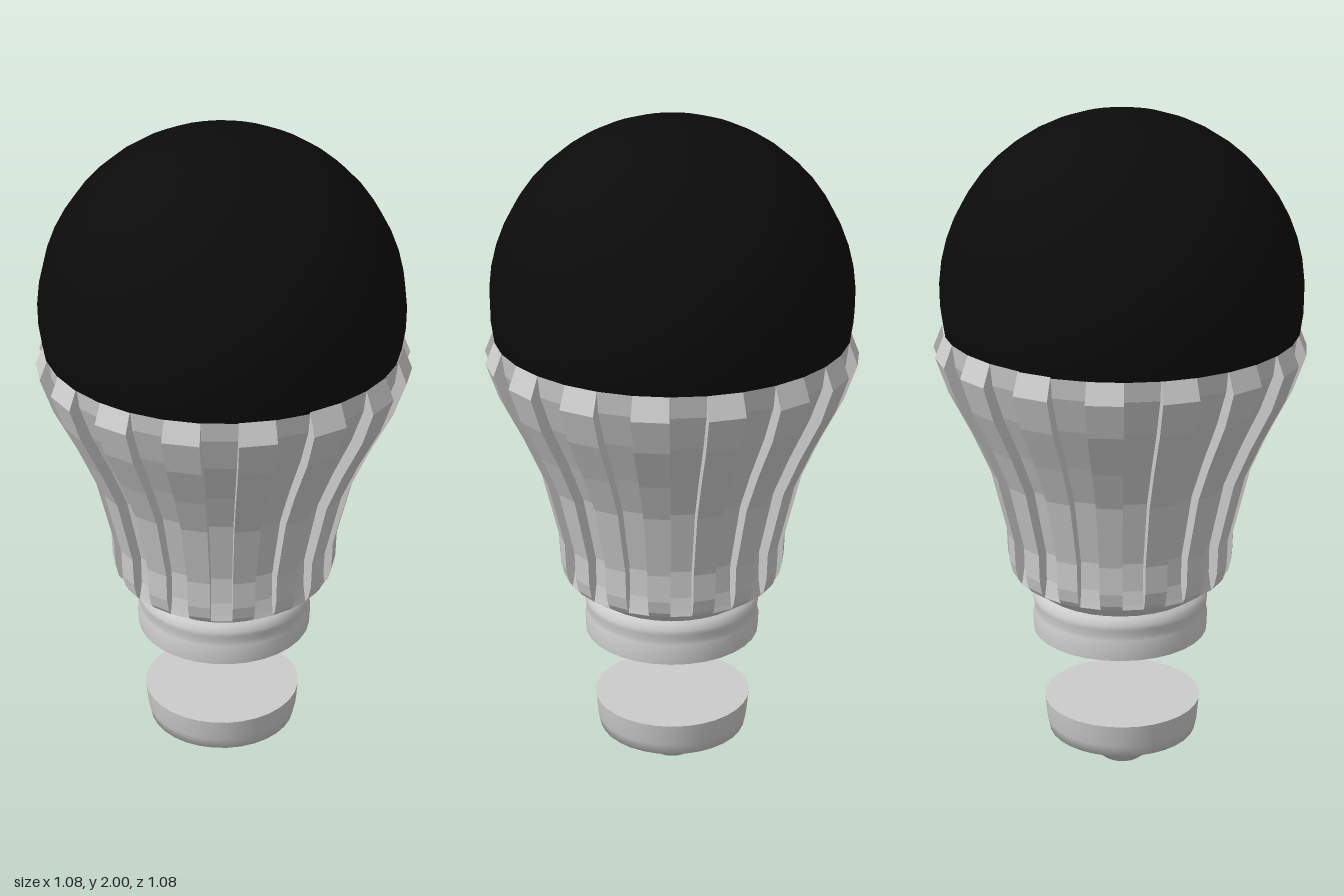
import * as THREE from 'three';
import { toCreasedNormals } from 'three/addons/utils/BufferGeometryUtils.js';

const SIDES = 32;
const grey = new THREE.MeshStandardMaterial({ color: 0xcccccc });
const greyFlat = new THREE.MeshStandardMaterial({ color: 0xcccccc, flatShading: true });
const black = new THREE.MeshStandardMaterial({ color: 0x0b0b0b });

function addMesh(group, name, geometry, material, x = 0) {
  const mesh = new THREE.Mesh(geometry, material);
  mesh.name = name;
  mesh.position.x = x;
  group.add(mesh);
}

// Turned part: profile of [radius, y], listed from bottom to top
function turned(profile, crease = 0.5) {
  const points = profile.map(([r, y]) => new THREE.Vector2(r, y));
  return toCreasedNormals(new THREE.LatheGeometry(points, SIDES), crease);
}

// Housing whose every second facet is raised into a cooling rib.
// Levels are [y, valley radius, rib radius], from bottom to top.
function ribbedHousing(levels) {
  const positions = [], index = [];
  const step = (Math.PI * 2) / SIDES;
  const ring = SIDES * 2;
  for (const [y, valley, rib] of levels) {
    for (let i = 0; i < SIDES; i++) {
      const r = i % 2 === 0 ? rib : valley;
      for (const a of [i * step, (i + 1) * step]) {
        positions.push(r * Math.sin(a), y, r * Math.cos(a));
      }
    }
  }
  for (let l = 0; l < levels.length - 1; l++) {
    for (let i = 0; i < ring; i++) {
      const a = l * ring + i, b = l * ring + ((i + 1) % ring);
      index.push(a, b, b + ring, a, b + ring, a + ring);
    }
  }
  const geometry = new THREE.BufferGeometry();
  geometry.setAttribute('position', new THREE.Float32BufferAttribute(positions, 3));
  geometry.setIndex(index);
  geometry.computeVertexNormals();
  return geometry;
}

export function createModel() {
  const bulb = new THREE.Group();
  bulb.name = 'ledBulb';

  // Dark dome, slightly more than a hemisphere
  const dome = new THREE.SphereGeometry(0.522, SIDES, 14, 0, Math.PI * 2, 0, 1.77);
  dome.translate(0, 1.478, 0);
  addMesh(bulb, 'dome', dome, black, -0.006);

  // Ribbed heat sink
  addMesh(bulb, 'heatSink', ribbedHousing([
    [0.62, 0.315, 0.315],
    [0.635, 0.312, 0.325],
    [0.675, 0.306, 0.334],
    [0.76, 0.307, 0.337],
    [0.96, 0.352, 0.385],
    [1.08, 0.403, 0.437],
    [1.21, 0.465, 0.502],
    [1.315, 0.504, 0.538],
    [1.38, 0.512, 0.512],
  ]), greyFlat);

  // Sloped collar under the heat sink
  addMesh(bulb, 'collar', turned([[0.24, 0.567], [0.315, 0.62]], 0.1), grey);

  // Socket sleeve with a shallow groove and a closed base
  addMesh(bulb, 'socketSleeve', turned([
    [0, 0.434], [0.26, 0.434], [0.262, 0.48], [0.258, 0.495], [0.256, 0.51],
    [0.261, 0.53], [0.261, 0.545], [0.25, 0.56], [0.24, 0.568],
  ], 0.8), grey);

  // Separate bottom contact with its small tip
  addMesh(bulb, 'bottomContact', turned([
    [0, 0], [0.062, 0.003], [0.105, 0.04], [0.12, 0.052],
    [0.221, 0.104], [0.229, 0.14], [0.235, 0.207], [0, 0.207],
  ], 1.1), grey, -0.007);

  return bulb;
}
